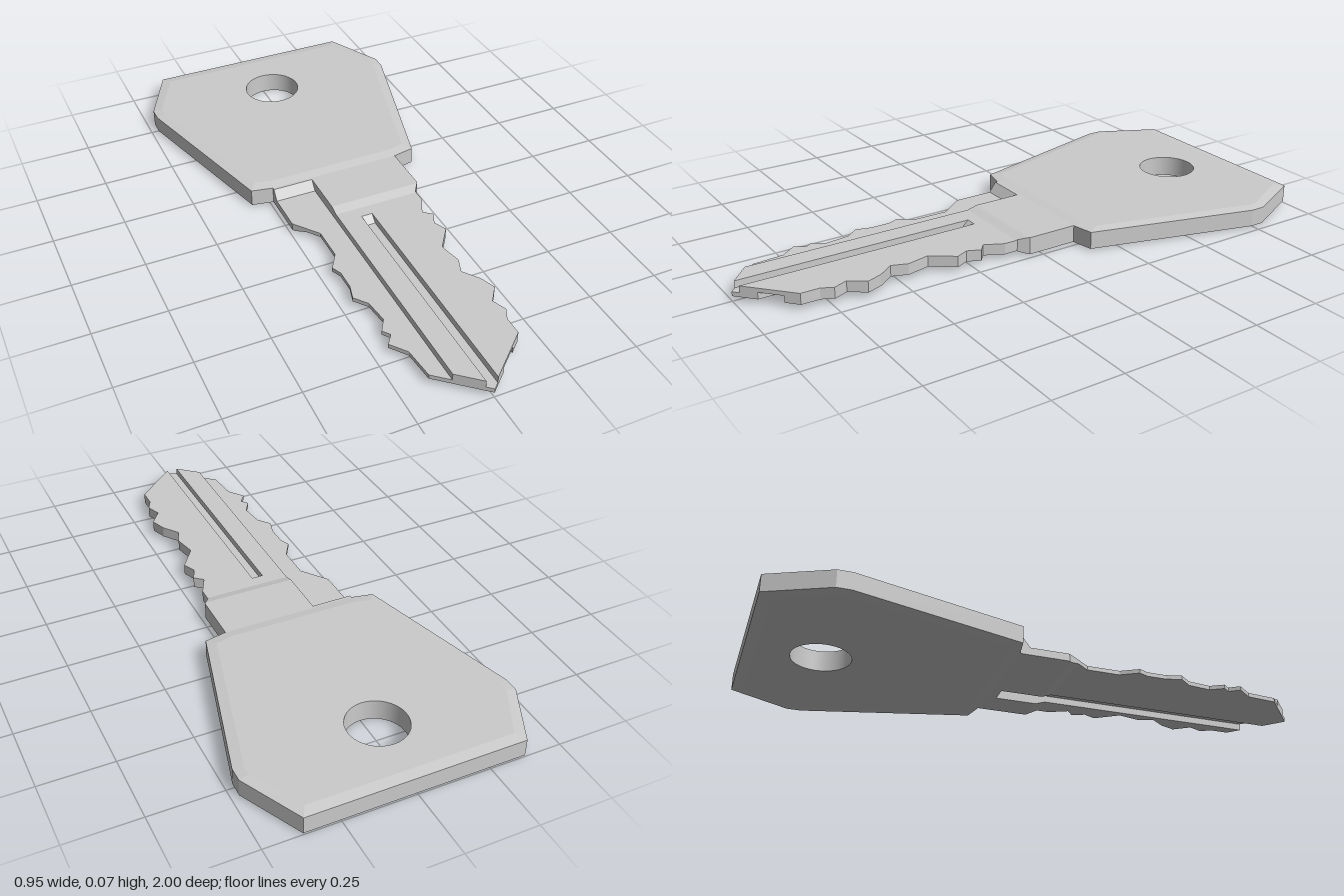
import * as THREE from 'three';

const material = new THREE.MeshStandardMaterial({ color: 0xcccccc, flatShading: true });

// Joins matching rings of corners into a flat-faced skin.
function loft(rings, capped) {
  const pos = [];
  const quad = (a, b, c, d) => pos.push(...a, ...b, ...c, ...a, ...c, ...d);
  for (let i = 0; i < rings.length - 1; i++) {
    const s = rings[i], t = rings[i + 1], n = s.length;
    for (let j = 0; j < n; j++) quad(s[j], s[(j + 1) % n], t[(j + 1) % n], t[j]);
  }
  if (capped) {
    const s = rings[0], t = rings[rings.length - 1];
    quad(s[3], s[2], s[1], s[0]);
    quad(t[0], t[1], t[2], t[3]);
  }
  const g = new THREE.BufferGeometry();
  g.setAttribute('position', new THREE.Float32BufferAttribute(pos, 3));
  g.computeVertexNormals();
  return g;
}

function mesh(name, geometry, mat = material) {
  const m = new THREE.Mesh(geometry, mat);
  m.name = name;
  return m;
}

// Piecewise linear value at z of a list of [z, value].
function at(points, z) {
  if (z <= points[0][0]) return points[0][1];
  for (let i = 1; i < points.length; i++) {
    const [z0, v0] = points[i - 1], [z1, v1] = points[i];
    if (z <= z1) return v0 + (v1 - v0) * (z - z0) / (z1 - z0);
  }
  return points[points.length - 1][1];
}

// Bow: bevelled plate with a ring hole
function createHead() {
  const head = new THREE.Group();
  head.name = 'head';
  const mirror = half => [...half, ...half.map(([x, z]) => [-x, z]).reverse()];
  const outer = mirror([[0.24, -0.135], [0.315, -0.15], [0.475, -0.74], [0.475, -0.79], [0.372, -1]]);
  const inner = mirror([[0.23, -0.17], [0.29, -0.185], [0.442, -0.75], [0.442, -0.785], [0.35, -0.963]]);
  const ring = (pts, y) => pts.map(([x, z]) => [x, y, z]);
  head.add(mesh('headRim', loft([ring(inner, 0), ring(outer, 0.006), ring(outer, 0.067), ring(inner, 0.073)])));

  const holeZ = -0.75, holeR = 0.102;
  for (const side of [1, -1]) {
    const shape = new THREE.Shape(inner.map(([x, z]) => new THREE.Vector2(x, -side * z)));
    const hole = new THREE.Path();
    hole.absarc(0, -side * holeZ, holeR, 0, Math.PI * 2, true);
    shape.holes.push(hole);
    const face = new THREE.ShapeGeometry(shape, 20);
    face.rotateX(-side * Math.PI / 2);
    face.translate(0, side > 0 ? 0.073 : 0, 0);
    head.add(mesh(side > 0 ? 'headTop' : 'headBottom', face));
  }
  const wall = new THREE.CylinderGeometry(holeR, holeR, 0.073, 40, 1, true);
  wall.translate(0, 0.0365, holeZ);
  head.add(mesh('ringHole', wall, new THREE.MeshStandardMaterial({ color: 0xcccccc, side: THREE.BackSide })));
  return head;
}

// Neck and blade: lengthwise strips, each with its own top and bottom profile
function createBlade() {
  const blade = new THREE.Group();
  blade.name = 'blade';
  // Toothed edges as [z, x], both ending at the tip
  const leftEdge = [
    [-0.15, -0.24], [0.04, -0.24], [0.13, -0.173], [0.25, -0.173], [0.31, -0.21], [0.345, -0.195],
    [0.415, -0.195], [0.47, -0.21], [0.515, -0.175], [0.6, -0.165], [0.645, -0.193], [0.67, -0.174],
    [0.705, -0.2], [0.76, -0.158], [0.87, -0.148], [1, 0]];
  const rightEdge = [
    [-0.15, 0.237], [0.045, 0.237], [0.08, 0.212], [0.13, 0.212], [0.195, 0.18], [0.22, 0.21],
    [0.265, 0.19], [0.31, 0.21], [0.39, 0.153], [0.47, 0.17], [0.525, 0.15], [0.58, 0.19],
    [0.635, 0.21], [0.69, 0.17], [0.74, 0.19], [0.78, 0.17], [0.845, 0.17], [1, 0]];
  const top = [[-0.15, 0.067], [0.05, 0.067], [0.085, 0.057]];
  const bottom = [[-0.15, 0.006], [0.05, 0.006], [0.085, 0.018]];
  const lowTop = [[-0.15, 0.067], [-0.125, 0.067], [-0.1, 0.033]];
  const grooveTop = [...top, [0.13, 0.057], [0.155, 0.033]];
  const grooveBottom = [[-0.15, 0.006], [-0.1, 0.006], [-0.08, 0.042]];

  // z where the point end crosses a given x
  const tipZ = x => x < 0 ? 1 + x * 0.13 / 0.148 : 1 - x * 0.155 / 0.17;

  const strips = [
    ['loweredEdge', -1, -0.095, lowTop, bottom],
    ['leftRib', -0.095, -0.02, top, bottom],
    ['topGroove', -0.02, 0.02, grooveTop, bottom],
    ['centreRib', 0.02, 0.065, top, bottom],
    ['bottomGroove', 0.065, 0.13, top, grooveBottom],
    ['toothedEdge', 0.13, 1, top, bottom]];

  for (const [name, x0, x1, upper, lower] of strips) {
    const crossings = [x0, x1].filter(x => Math.abs(x) < 0.14).map(tipZ);
    const end = x0 < 0 && x1 > 0 ? 1 : Math.max(...crossings);
    const stops = [...leftEdge, ...rightEdge, ...upper, ...lower].map(p => p[0]).concat(crossings, end);
    const zs = [...new Set(stops)].filter(z => z <= end).sort((a, b) => a - b);
    const rings = zs.map(z => {
      const l = Math.max(x0, at(leftEdge, z)), r = Math.max(l, Math.min(x1, at(rightEdge, z)));
      const b = at(lower, z), t = at(upper, z);
      return [[l, b, z], [r, b, z], [r, t, z], [l, t, z]];
    });
    blade.add(mesh(name, loft(rings, true)));
  }
  return blade;
}

export function createModel() {
  const key = new THREE.Group();
  key.name = 'key';
  key.add(createHead(), createBlade());
  return key;
}
